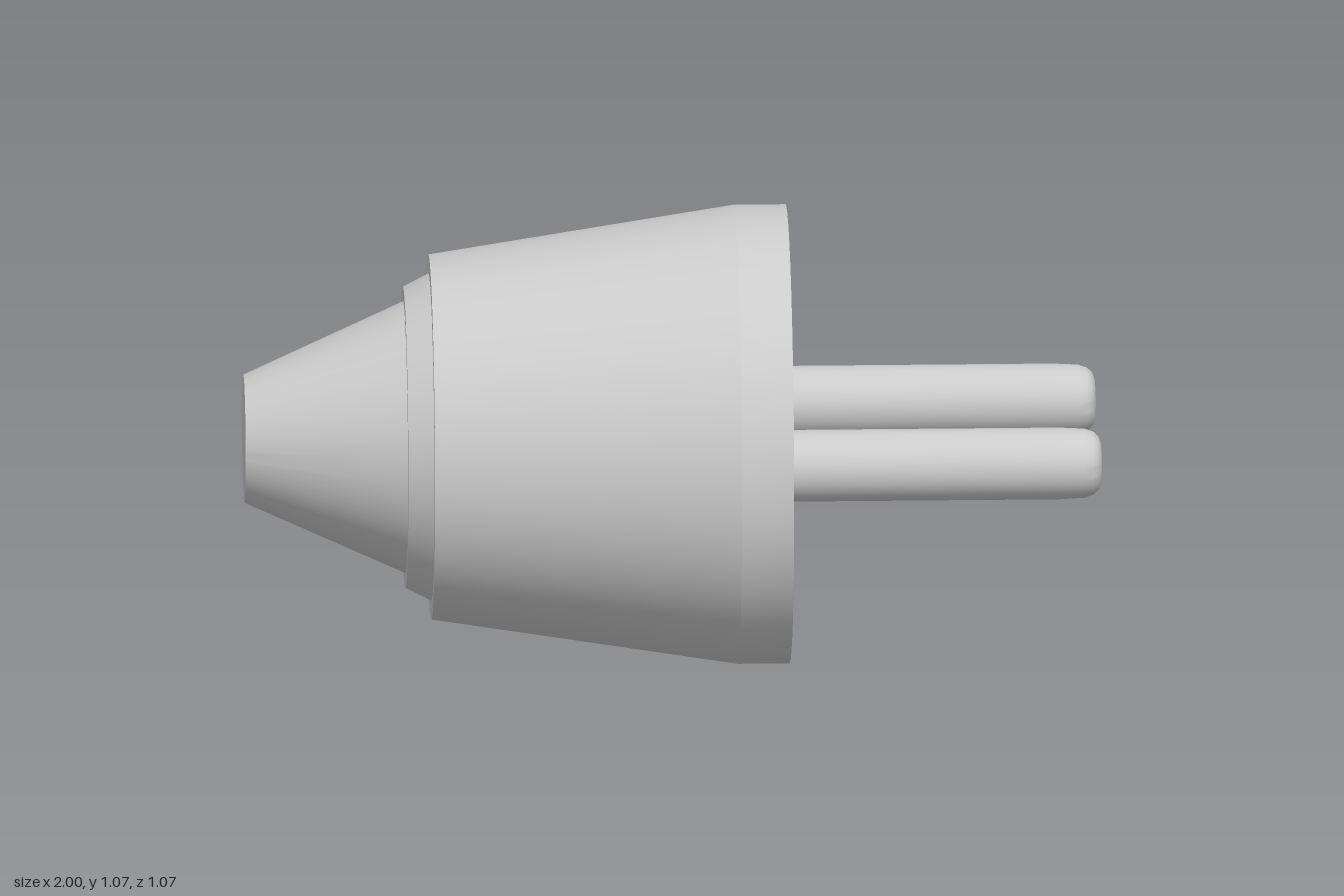
import * as THREE from 'three';
import { toCreasedNormals } from 'three/addons/utils/BufferGeometryUtils.js';

const material = new THREE.MeshStandardMaterial({ color: 0xcccccc });
const AXIS_Y = 0.537;

// Turned part: profile of [x, radius] pairs, spun around the x axis
function turned(name, profile, segments, crease, z = 0) {
  const points = profile.map(([x, r]) => new THREE.Vector2(r, x));
  const geometry = toCreasedNormals(new THREE.LatheGeometry(points, segments), crease);
  geometry.rotateZ(-Math.PI / 2);
  const mesh = new THREE.Mesh(geometry, material);
  mesh.name = name;
  mesh.position.set(0, AXIS_Y, z);
  return mesh;
}

export function createModel() {
  const plug = new THREE.Group();
  plug.name = 'powerPlug';

  // Cable sleeve cone with a closed end
  plug.add(turned('cableSleeve', [[-1, 0], [-1, 0.15], [-0.625, 0.318]], 96, 0.12));

  // Narrow collar between sleeve and body
  plug.add(turned('collar', [[-0.625, 0.318], [-0.625, 0.352], [-0.565, 0.383]], 96, 0.12));

  // Tapered body with a rim and a recessed face
  plug.add(turned('body', [
    [-0.565, 0.383], [-0.565, 0.427], [0.15, 0.537], [0.272, 0.537],
    [0.272, 0.462], [0.195, 0.462], [0.195, 0],
  ], 96, 0.12));

  // Two round contact pins with softened tips
  const pinProfile = [
    [0.19, 0.084], [0.9, 0.084], [0.96, 0.081], [0.98, 0.074],
    [0.992, 0.063], [0.998, 0.048], [1, 0.025], [1, 0],
  ];
  for (const [name, side] of [['frontPin', 1], ['backPin', -1]]) {
    plug.add(turned(name, pinProfile, 48, 0.7, side * 0.248));
  }

  return plug;
}
